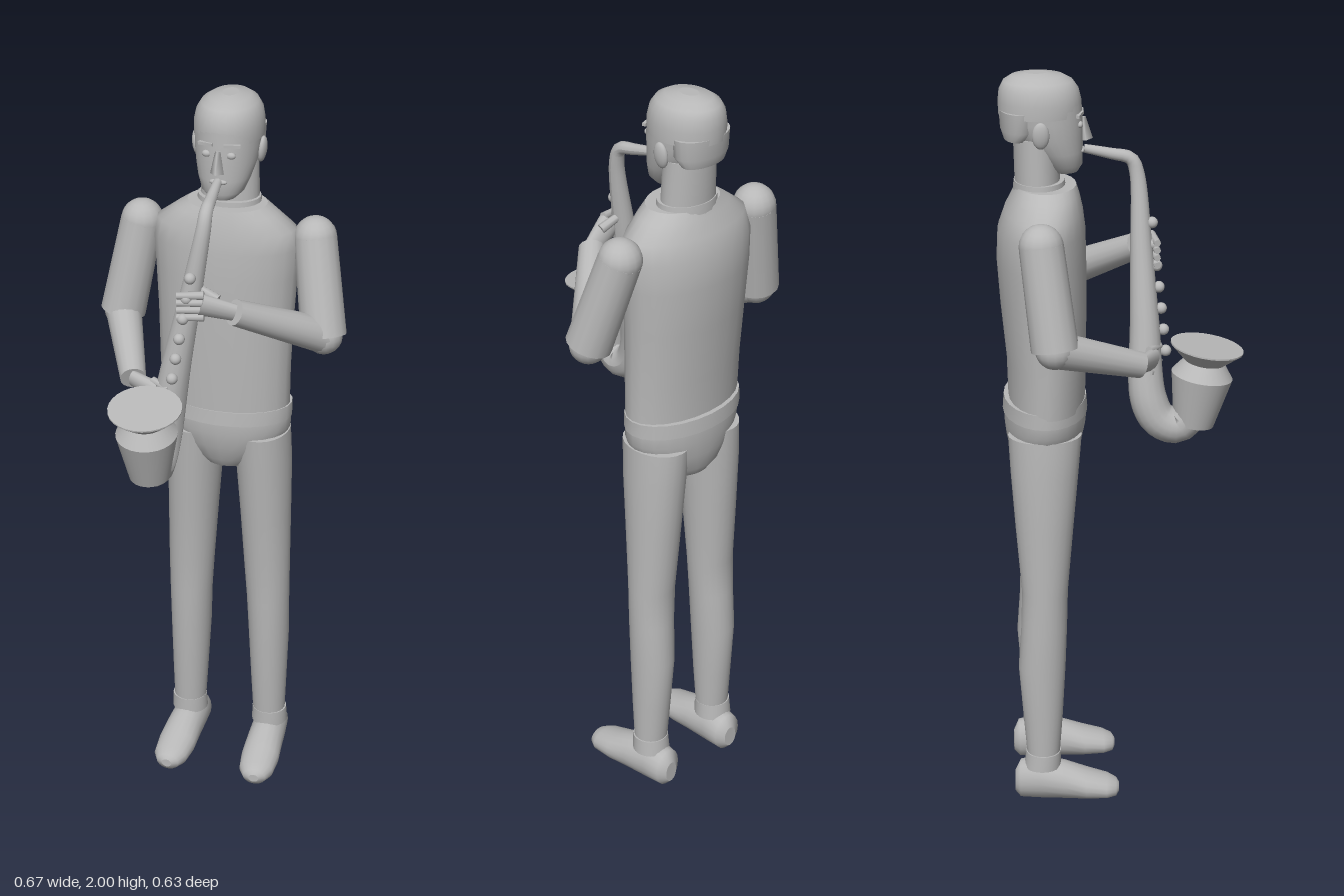
import * as THREE from 'three';

const grey = new THREE.MeshStandardMaterial({ color: 0xb8b8b8 });
grey.name = 'plain grey';
const V = (x, y, z) => new THREE.Vector3(x, y, z);

function add(parent, name, geometry) {
  const mesh = new THREE.Mesh(geometry, grey);
  mesh.name = name;
  parent.add(mesh);
  return mesh;
}

// Closed skin over elliptical sections [y, centreX, centreZ, radiusX, radiusZ], bottom to top
function loft(sections, n = 24) {
  const pos = [], idx = [];
  const ring = ([y, cx, cz, rx, rz]) => {
    for (let j = 0; j < n; j++) {
      const t = (j / n) * Math.PI * 2;
      pos.push(cx + rx * Math.cos(t), y, cz + rz * Math.sin(t));
    }
  };
  sections.forEach(ring);
  for (let i = 0; i < sections.length - 1; i++) {
    for (let j = 0; j < n; j++) {
      const a = i * n + j, b = i * n + (j + 1) % n;
      idx.push(a, a + n, b, b, a + n, b + n);
    }
  }
  [sections[0], sections[sections.length - 1]].forEach((s, top) => {
    const start = pos.length / 3;
    ring(s);
    pos.push(s[1], s[0], s[2]);
    for (let j = 0; j < n; j++) {
      const a = start + j, b = start + (j + 1) % n;
      if (top) idx.push(start + n, b, a);
      else idx.push(start + n, a, b);
    }
  });
  const g = new THREE.BufferGeometry();
  g.setAttribute('position', new THREE.Float32BufferAttribute(pos, 3));
  g.setIndex(idx);
  g.computeVertexNormals();
  return g;
}

// Tapered cylinder from point a to point b
function limb(parent, name, a, b, ra, rb, flat = 1, sides = 16) {
  const g = new THREE.CylinderGeometry(rb, ra, a.distanceTo(b), sides);
  g.scale(1, 1, flat);
  const m = add(parent, name, g);
  m.position.copy(a).lerp(b, 0.5);
  m.quaternion.setFromUnitVectors(V(0, 1, 0), b.clone().sub(a).normalize());
  return m;
}

function ball(parent, name, p, rx, ry = rx, rz = rx) {
  const m = add(parent, name, new THREE.SphereGeometry(1, 16, 12));
  m.scale.set(rx, ry, rz);
  m.position.copy(p);
  return m;
}

function buildBody(root) {
  const body = new THREE.Group();
  body.name = 'body';
  root.add(body);
  add(body, 'torso', loft([
    [1.13, 0.012, -0.19, 0.175, 0.1], [1.25, 0.01, -0.19, 0.178, 0.103],
    [1.4, 0.01, -0.196, 0.183, 0.111], [1.52, 0.01, -0.2, 0.19, 0.115],
    [1.6, 0.01, -0.199, 0.195, 0.112], [1.65, 0.01, -0.193, 0.185, 0.1],
    [1.69, 0.012, -0.188, 0.135, 0.086], [1.712, 0.014, -0.187, 0.105, 0.078]]));
  add(body, 'belt', loft([[1.105, 0.015, -0.195, 0.177, 0.111], [1.145, 0.015, -0.195, 0.177, 0.108]]));
  add(body, 'pelvis', loft([
    [0.958, 0.02, -0.2, 0.072, 0.07], [0.985, 0.02, -0.2, 0.105, 0.088],
    [1.03, 0.018, -0.197, 0.15, 0.1], [1.075, 0.017, -0.195, 0.172, 0.107],
    [1.11, 0.016, -0.195, 0.173, 0.107]]));
  add(body, 'collar', loft([[1.69, 0.015, -0.203, 0.086, 0.068], [1.725, 0.015, -0.203, 0.083, 0.065]]));
  add(body, 'neck', loft([[1.7, 0.015, -0.207, 0.078, 0.058], [1.84, 0.015, -0.212, 0.074, 0.056]]));

  // Legs, cuffs and feet, mirrored about the hips
  for (const s of [-1, 1]) {
    const side = s > 0 ? 'left' : 'right';
    const x = (d) => 0.02 + s * d;
    add(body, side + 'Leg', loft([
      [0.11, x(0.117), -0.212, 0.044, 0.042], [0.25, x(0.115), -0.212, 0.05, 0.053],
      [0.4, x(0.113), -0.213, 0.056, 0.063], [0.52, x(0.111), -0.206, 0.059, 0.061],
      [0.62, x(0.108), -0.203, 0.063, 0.061], [0.8, x(0.102), -0.202, 0.069, 0.076],
      [0.96, x(0.096), -0.2, 0.075, 0.089], [1.06, x(0.09), -0.198, 0.076, 0.096]]));
    add(body, side + 'Cuff', loft([[0.1, x(0.118), -0.215, 0.05, 0.05], [0.145, x(0.118), -0.212, 0.048, 0.047]]));
    const foot = loft([
      [-0.085, 0, -0.05, 0.02, 0.03], [-0.07, 0, -0.058, 0.043, 0.054],
      [-0.02, 0, -0.062, 0.048, 0.061], [0.05, 0, -0.054, 0.051, 0.053],
      [0.11, 0, -0.042, 0.054, 0.041], [0.165, 0, -0.034, 0.048, 0.032],
      [0.19, 0, -0.03, 0.032, 0.024], [0.198, 0, -0.03, 0.014, 0.012]], 18);
    foot.rotateX(Math.PI / 2);
    const m = add(body, side + 'Foot', foot);
    m.position.set(x(0.118), 0, -0.205);
    m.rotation.y = s * 0.05;
  }
}

function buildHead(root) {
  const head = new THREE.Group();
  head.name = 'head';
  root.add(head);
  add(head, 'face', loft([
    [1.745, 0.015, -0.138, 0.034, 0.033], [1.765, 0.015, -0.143, 0.055, 0.05],
    [1.8, 0.015, -0.158, 0.069, 0.066], [1.84, 0.015, -0.18, 0.08, 0.088],
    [1.88, 0.015, -0.19, 0.085, 0.098], [1.93, 0.015, -0.195, 0.086, 0.1]], 28));
  add(head, 'hairCap', loft([
    [1.895, 0.015, -0.2, 0.089, 0.104], [1.93, 0.015, -0.2, 0.09, 0.105],
    [1.96, 0.015, -0.202, 0.084, 0.1], [1.98, 0.015, -0.204, 0.072, 0.088],
    [1.993, 0.015, -0.206, 0.052, 0.066], [2, 0.015, -0.207, 0.02, 0.028]], 28));
  add(head, 'hairBack', loft([
    [1.835, 0.015, -0.258, 0.066, 0.034], [1.86, 0.015, -0.25, 0.08, 0.05],
    [1.91, 0.015, -0.248, 0.084, 0.055]]));
  // Nose wedge
  const nose = add(head, 'nose', new THREE.CylinderGeometry(0.007, 0.018, 0.058, 4));
  nose.position.set(0.015, 1.855, -0.088);
  nose.rotation.x = -0.12;
  ball(head, 'mouth', V(0.015, 1.8, -0.095), 0.024, 0.008, 0.009);
  for (const s of [-1, 1]) {
    const ear = ball(head, 'ear', V(0.015 + s * 0.086, 1.858, -0.2), 0.012, 0.035, 0.022);
    ear.rotation.z = -s * 0.1;
    ball(head, 'eye', V(0.015 + s * 0.032, 1.872, -0.1), 0.012, 0.009, 0.008);
    const brow = add(head, 'brow', new THREE.BoxGeometry(0.042, 0.008, 0.009));
    brow.position.set(0.015 + s * 0.034, 1.898, -0.1);
    brow.rotation.set(0, s * 0.3, -s * 0.06);
  }
}

function buildArm(root, side, shoulder, elbow, wrist, palm) {
  const arm = new THREE.Group();
  arm.name = side + 'Arm';
  root.add(arm);
  ball(arm, 'shoulder', shoulder, 0.056);
  limb(arm, 'upperArm', shoulder, elbow, 0.056, 0.06);
  ball(arm, 'elbow', elbow, 0.05);
  limb(arm, 'forearm', elbow, wrist, 0.048, 0.034);
  limb(arm, 'hand', wrist, palm, 0.026, 0.033, 0.65);
  return arm;
}

function buildSaxophone(root) {
  const sax = new THREE.Group();
  sax.name = 'saxophone';
  root.add(sax);
  // Widening tube from mouthpiece to bow
  const path = new THREE.CatmullRomCurve3([
    V(0.015, 1.802, -0.09), V(0.018, 1.786, -0.02), V(0.02, 1.772, 0.03), V(0.018, 1.735, 0.045),
    V(-0.015, 1.54, 0.055), V(-0.05, 1.35, 0.062), V(-0.08, 1.16, 0.07),
    V(-0.085, 1.102, 0.098), V(-0.085, 1.085, 0.145), V(-0.085, 1.12, 0.182)]);
  const segs = 64, radial = 16;
  const tube = new THREE.TubeGeometry(path, segs, 1, radial);
  const p = tube.attributes.position, v = V();
  for (let i = 0; i <= segs; i++) {
    const t = i / segs, c = path.getPointAt(t);
    const r = 0.011 + 0.037 * Math.min(1, t / 0.82);
    for (let j = 0; j <= radial; j++) {
      const k = i * (radial + 1) + j;
      v.fromBufferAttribute(p, k).sub(c).multiplyScalar(r).add(c);
      p.setXYZ(k, v.x, v.y, v.z);
    }
  }
  tube.computeVertexNormals();
  add(sax, 'tube', tube);

  // Bell: tapered pot, waist and flared rim, tipped forward
  const bell = new THREE.Group();
  bell.name = 'bell';
  bell.position.set(-0.085, 1.09, 0.187);
  bell.rotation.x = 0.16;
  sax.add(bell);
  const rings = [[0, 0.053], [0.135, 0.08], [0.172, 0.053], [0.21, 0.095], [0.214, 0.095]];
  for (let i = 0; i < rings.length - 1; i++) {
    const [y0, r0] = rings[i], [y1, r1] = rings[i + 1];
    add(bell, 'bellSection', new THREE.CylinderGeometry(r1, r0, y1 - y0, 28)).position.y = (y0 + y1) / 2;
  }

  // Key buttons down the front
  for (let i = 0; i < 7; i++) {
    const y = 1.61 - i * 0.055;
    const f = (1.735 - y) / 0.575;
    ball(sax, 'key', V(0.012 - 0.085 * f, y, 0.07 + 0.058 * f), 0.015);
  }
}

export function createModel() {
  const root = new THREE.Group();
  root.name = 'saxophonePlayer';
  buildBody(root);
  buildHead(root);

  const left = buildArm(root, 'left', V(0.243, 1.628, -0.207), V(0.287, 1.385, -0.14),
    V(0.1, 1.515, 0.05), V(0.02, 1.54, 0.08));
  const right = buildArm(root, 'right', V(-0.222, 1.62, -0.205), V(-0.268, 1.365, -0.175),
    V(-0.172, 1.285, 0.045), V(-0.095, 1.27, 0.075));

  // Fingers wrapped on the tube
  for (let i = 0; i < 4; i++) {
    const y = 1.568 - i * 0.02;
    limb(left, 'finger', V(0.03, y, 0.083), V(-0.038, y - 0.004, 0.095), 0.011, 0.009, 1, 8);
    const h = 1.3 - i * 0.02;
    limb(right, 'finger', V(-0.11, h, 0.07), V(-0.06, h - 0.004, 0.1), 0.011, 0.009, 1, 8);
  }
  limb(left, 'thumb', V(0.06, 1.55, 0.06), V(0.0, 1.575, 0.05), 0.013, 0.01, 1, 8);

  buildSaxophone(root);
  return root;
}
